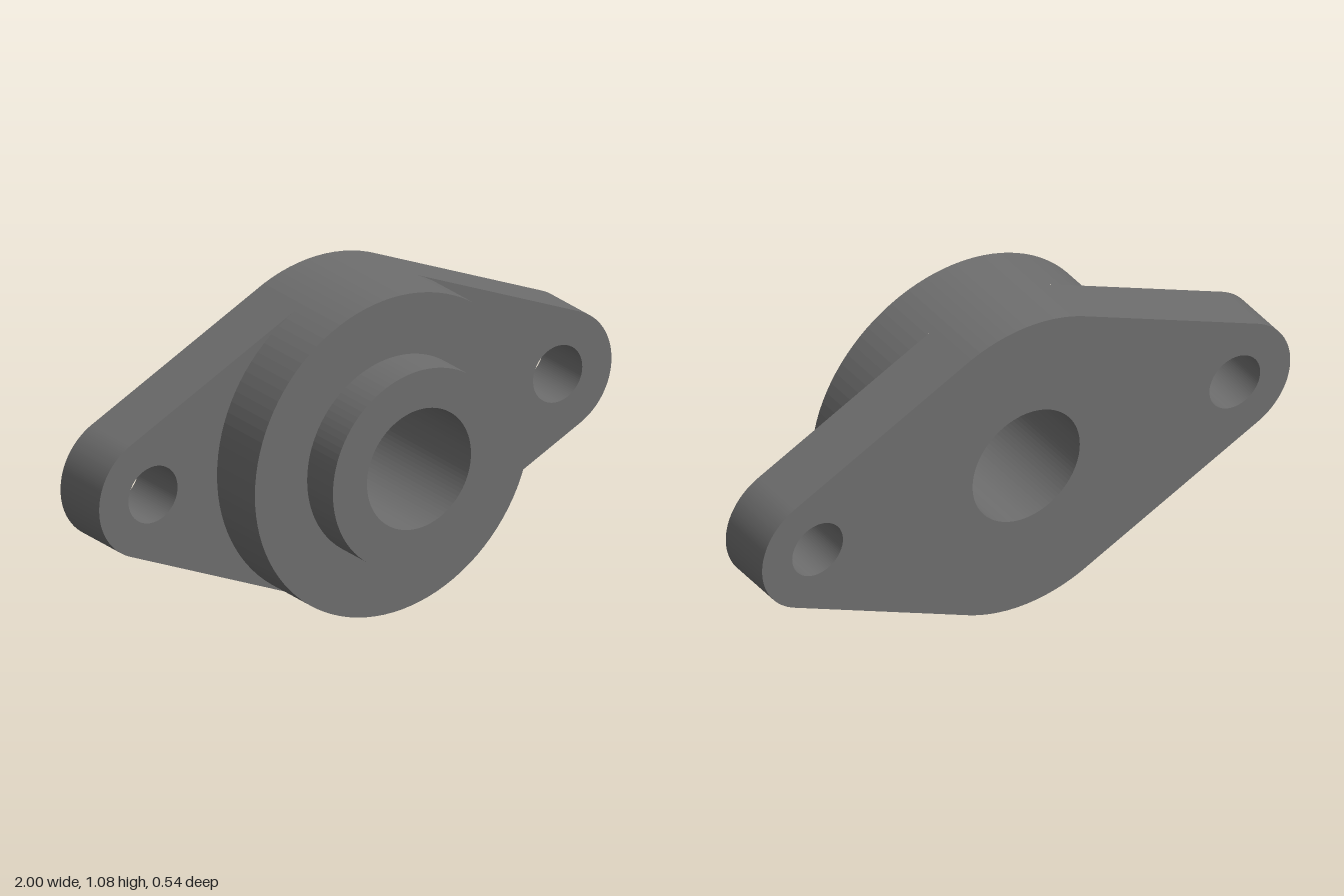
import * as THREE from 'three';

const R_HUB = 0.54, R_COLLAR = 0.336, R_BORE = 0.203; // central radii
const R_END = 0.21, R_HOLE = 0.096, END_X = 0.79;     // bolt lugs
const Z_BACK = -0.27, Z_PLATE = -0.066, Z_HUB = 0.134, Z_COLLAR = 0.27;
const SIDES = 96;

export function createModel() {
  const group = new THREE.Group();
  const material = new THREE.MeshStandardMaterial({ color: 0x6e6e6e, flatShading: true });

  const add = (name, geometry) => {
    const mesh = new THREE.Mesh(geometry, material);
    mesh.name = name;
    mesh.position.y = R_HUB;
    group.add(mesh);
  };

  // Ring with an open back, turned about the z axis
  const ring = (outer, z0, z1) => new THREE.LatheGeometry([
    new THREE.Vector2(outer, z0),
    new THREE.Vector2(outer, z1),
    new THREE.Vector2(R_BORE, z1),
    new THREE.Vector2(R_BORE, z0),
  ], SIDES).rotateX(Math.PI / 2);

  // Flange plate: end arcs joined by tangent lines to middle arcs,
  // whose corners fall on the corners of the hub so the two run flush
  const t = Math.acos((R_HUB - R_END) / END_X);
  const step = 2 * Math.PI / SIDES;
  const outline = new THREE.Shape();
  for (const side of [0, Math.PI]) {
    outline.absarc(END_X * Math.cos(side), 0, R_END, side - t, side + t, false);
    for (let k = Math.ceil(t / step); k * step <= Math.PI - t; k++) {
      const a = side + k * step;
      outline.lineTo(R_HUB * Math.cos(a), R_HUB * Math.sin(a));
    }
  }
  outline.closePath();

  // Bore and bolt holes
  for (const [x, r] of [[0, R_BORE], [END_X, R_HOLE], [-END_X, R_HOLE]]) {
    outline.holes.push(new THREE.Path().absarc(x, 0, r, 0, Math.PI * 2, true));
  }
  const plate = new THREE.ExtrudeGeometry(outline, {
    depth: Z_PLATE - Z_BACK, bevelEnabled: false, curveSegments: SIDES / 2,
  });
  add('flangePlate', plate.translate(0, 0, Z_BACK));

  // Stepped hub on the front
  add('hub', ring(R_HUB, Z_PLATE, Z_HUB));
  add('collar', ring(R_COLLAR, Z_HUB, Z_COLLAR));

  return group;
}
